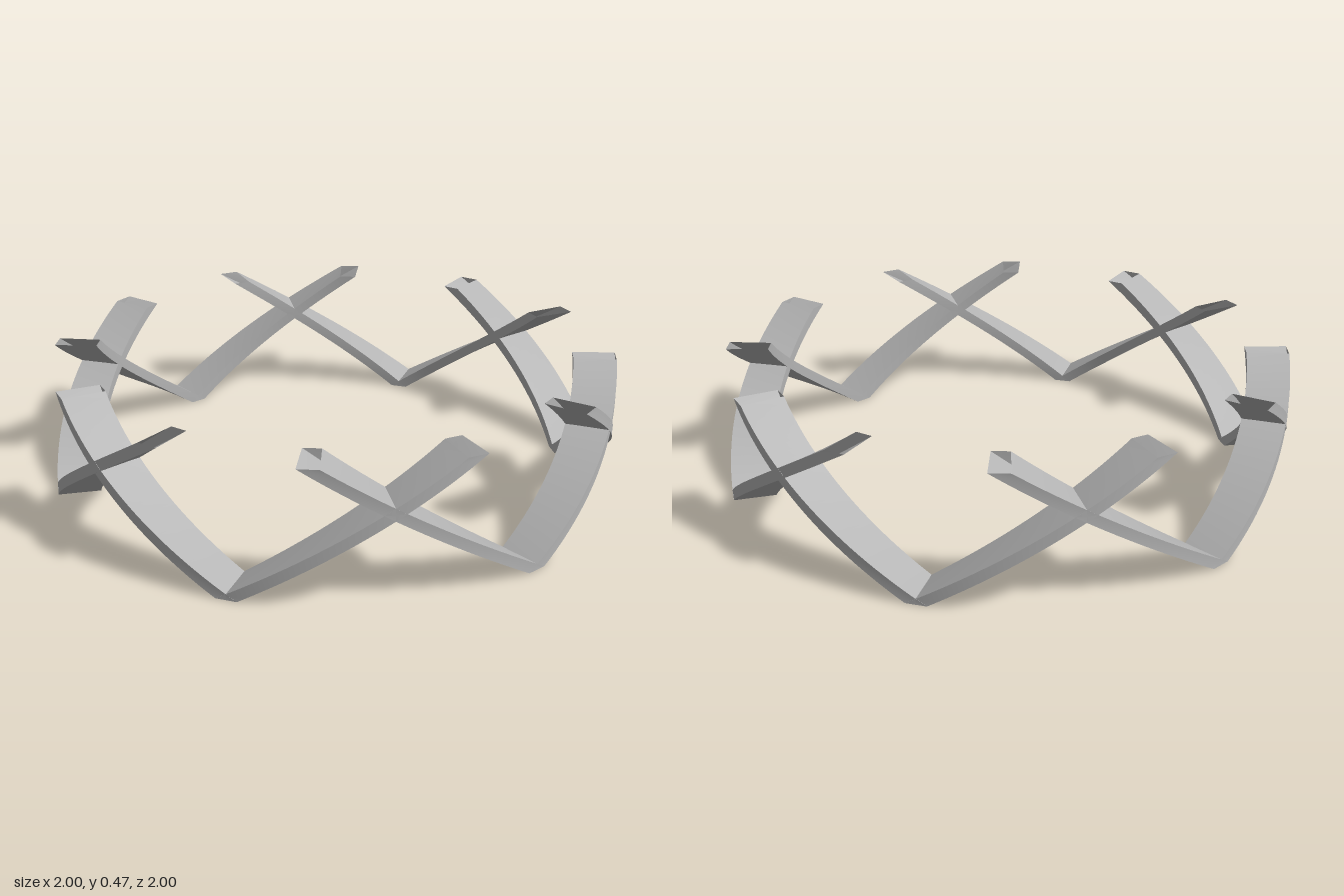
import * as THREE from 'three';

const OUTER = 1, INNER = 0.85, HEIGHT = 0.47;
const SWEEP = 45, HALF = 2.05; // degrees: travel of an arm, half its horizontal width
const STEPS = 28;

// Open-ended helical bar climbing round the ring; side is +1 or -1
function armGeometry(side) {
  const corners = [[OUTER, -HALF], [OUTER, HALF], [INNER, HALF], [INNER, -HALF]];
  const positions = [], index = [];
  corners.forEach((from, k) => {
    const to = corners[(k + 1) % 4];
    const base = positions.length / 3;
    for (let i = 0; i <= STEPS; i++) {
      const t = i / STEPS;
      for (const [r, offset] of [from, to]) {
        const a = side * THREE.MathUtils.degToRad(SWEEP * t + offset);
        positions.push(r * Math.sin(a), HEIGHT * t, r * Math.cos(a));
      }
    }
    for (let i = 0; i < STEPS; i++) {
      const a = base + i * 2, b = a + 1, c = a + 2, d = a + 3;
      if (side > 0) index.push(a, b, d, a, d, c);
      else index.push(a, d, b, a, c, d);
    }
  });
  const geometry = new THREE.BufferGeometry();
  geometry.setAttribute('position', new THREE.Float32BufferAttribute(positions, 3));
  geometry.setIndex(index);
  geometry.computeVertexNormals();
  return geometry;
}

export function createModel() {
  const model = new THREE.Group();
  model.name = 'crossedRing';
  const grey = new THREE.MeshStandardMaterial({ color: 0xb4b4b4, side: THREE.DoubleSide });
  grey.name = 'plain grey';
  const leftArm = armGeometry(1), rightArm = armGeometry(-1);

  // Six V-shaped pairs whose arms cross their neighbours
  for (let i = 0; i < 6; i++) {
    const pair = new THREE.Group();
    pair.name = `armPair${i + 1}`;
    pair.rotation.y = i * Math.PI / 3;
    for (const [name, geometry] of [['leftArm', leftArm], ['rightArm', rightArm]]) {
      const mesh = new THREE.Mesh(geometry, grey);
      mesh.name = name;
      pair.add(mesh);
    }
    model.add(pair);
  }
  return model;
}
